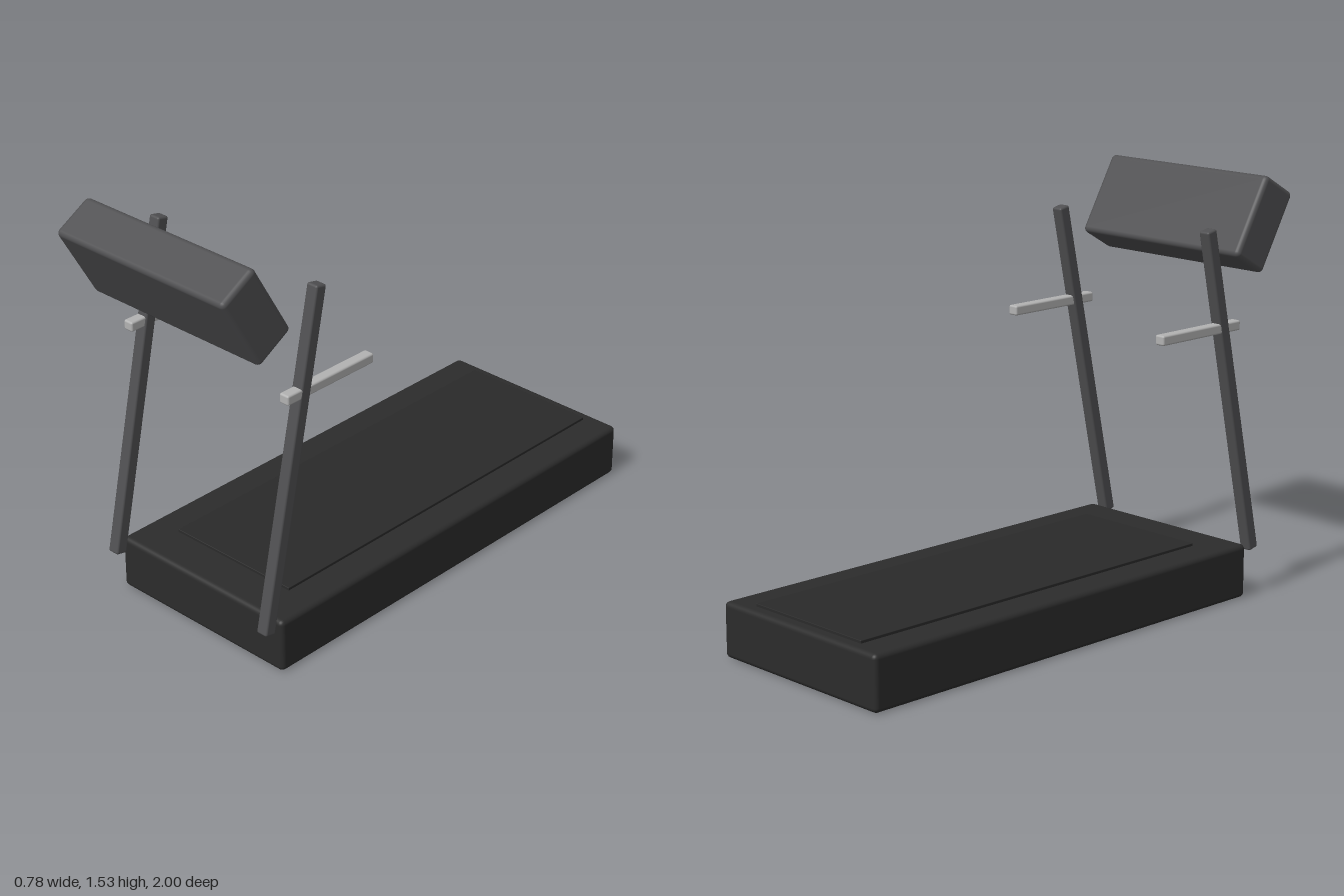
import * as THREE from 'three';
import { RoundedBoxGeometry } from 'three/addons/geometries/RoundedBoxGeometry.js';

export function createModel() {
  const model = new THREE.Group();
  model.name = 'treadmill';

  const mat = (name, color) => {
    const m = new THREE.MeshStandardMaterial({ color });
    m.name = name;
    return m;
  };
  const deckBlack = mat('deckBlack', 0x2c2c2c);
  const beltBlack = mat('beltBlack', 0x2a2a2a);
  const frameGrey = mat('frameGrey', 0x505052);
  const gripSilver = mat('gripSilver', 0xb2b2b2);

  // Adds a rounded block: size, corner radius, centre and forward tilt
  const block = (name, material, [w, h, d], radius, [x, y, z], tilt = 0) => {
    const mesh = new THREE.Mesh(new RoundedBoxGeometry(w, h, d, 3, radius), material);
    mesh.name = name;
    mesh.position.set(x, y, z);
    mesh.rotation.x = THREE.MathUtils.degToRad(tilt);
    model.add(mesh);
  };

  // Running deck with a slightly raised belt
  block('deck', deckBlack, [0.78, 0.2, 1.78], 0.018, [0, 0.1, -0.11]);
  block('belt', beltBlack, [0.54, 0.03, 1.58], 0.002, [0, 0.195, -0.165]);

  // Leaning posts and horizontal handles, one pair per side
  for (const [side, s] of [['left', 1], ['right', -1]]) {
    block(side + 'Post', frameGrey, [0.046, 1.23, 0.046], 0.008, [s * 0.363, 0.773, 0.7], -12);
    block(side + 'Handle', gripSilver, [0.04, 0.036, 0.4], 0.007, [s * 0.365, 1.018, 0.53]);
  }

  // Tilted console
  block('console', frameGrey, [0.766, 0.315, 0.165], 0.018, [0, 1.363, 0.855], 30);

  return model;
}
